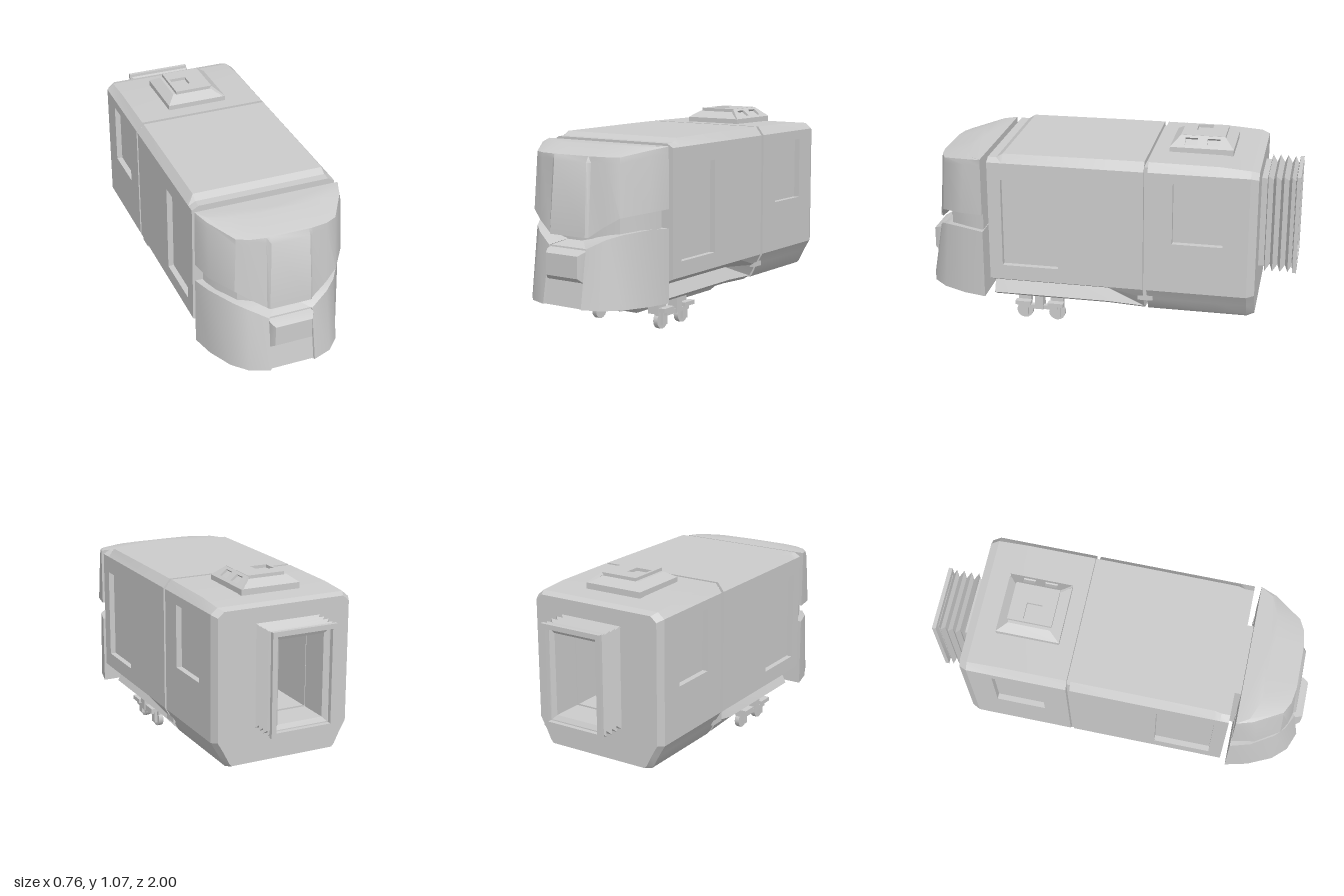
import * as THREE from 'three';
import { toCreasedNormals } from 'three/addons/utils/BufferGeometryUtils.js';

const grey = new THREE.MeshStandardMaterial({ color: 0xcccccc });
const greyDouble = new THREE.MeshStandardMaterial({ color: 0xcccccc, side: THREE.DoubleSide });

// Half outline [x, y, z] on +x, completed by its mirror image
const mirror = pts => [...pts, ...pts.slice().reverse().map(([x, y, z]) => [-x, y, z])];
// Rectangle across the z axis / across the y axis
const rectZ = (w, y0, y1, z) => mirror([[w, y1, z], [w, y0, z]]);
const rectY = (x0, x1, z0, z1, y) => [[x0, y, z0], [x1, y, z0], [x1, y, z1], [x0, y, z1]];

// Skin through rings with equal point counts, turned outward, with fan caps
function loft(rings, capStart = true, capEnd = true, crease = 0.4) {
  const n = rings[0].length, tris = [];
  for (let r = 0; r < rings.length - 1; r++)
    for (let i = 0; i < n; i++) {
      const j = (i + 1) % n, a = rings[r], b = rings[r + 1];
      tris.push([a[i], a[j], b[j]], [a[i], b[j], b[i]]);
    }
  const cap = (ring, flip) => {
    const c = [0, 1, 2].map(k => ring.reduce((s, p) => s + p[k], 0) / n);
    ring.forEach((p, i) => {
      const q = ring[(i + 1) % n];
      tris.push(flip ? [c, q, p] : [c, p, q]);
    });
  };
  if (capStart) cap(rings[0], true);
  if (capEnd) cap(rings[rings.length - 1], false);
  const all = rings.flat(), v = p => new THREE.Vector3(...p);
  const mid = v([0, 1, 2].map(k => all.reduce((s, p) => s + p[k], 0) / all.length));
  let volume = 0;
  for (const [a, b, c] of tris) volume += v(a).sub(mid).dot(v(b).sub(mid).cross(v(c).sub(mid)));
  if (volume < 0) tris.forEach(t => t.reverse());
  const geo = new THREE.BufferGeometry();
  geo.setAttribute('position', new THREE.Float32BufferAttribute(tris.flat(2), 3));
  return toCreasedNormals(geo, crease);
}

// Flat plate with rectangular holes [x0, y0, x1, y1]
function plate(outline, holes, depth) {
  const shape = new THREE.Shape(outline.map(p => new THREE.Vector2(...p)));
  for (const [x0, y0, x1, y1] of holes)
    shape.holes.push(new THREE.Path([[x0, y0], [x0, y1], [x1, y1], [x1, y0]].map(p => new THREE.Vector2(...p))));
  return depth ? new THREE.ExtrudeGeometry(shape, { depth, bevelEnabled: false }) : new THREE.ShapeGeometry(shape);
}

export function createModel() {
  const model = new THREE.Group();
  const add = (name, geo, material = grey, parent = model) => {
    const mesh = new THREE.Mesh(geo, material);
    mesh.name = name;
    parent.add(mesh);
    return mesh;
  };
  const box = (name, w, h, d, x, y, z, parent) =>
    add(name, new THREE.BoxGeometry(w, h, d), grey, parent).position.set(x, y, z);

  // Car cross-section with a shallow notch that the side panels fill
  const section = (z, top, lower) => mirror(
    [[0.345, top], [0.38, 0.95], [0.35, 0.95], [0.35, 0.30], [0.38, 0.30], ...lower].map(([x, y]) => [x, y, z]));
  const sidePanels = (name, z0, z1, hole) => {
    for (const x of [0.38, -0.35]) {
      const geo = plate([[z0, 0.30], [z1, 0.30], [z1, 0.95], [z0, 0.95]], [hole], 0.03);
      add(name, geo.rotateY(-Math.PI / 2).translate(x, 0, 0));
    }
  };

  // Middle car with undercut sills that run out towards the rear
  const sill = [[0.28, 0.25], [0.31, 0.185], [0.27, 0.16]];
  add('middleBody', loft([
    section(0.60, 0.97, sill), section(0.555, 0.97, sill), section(0.52, 0.992, sill),
    section(-0.02, 0.995, sill), section(-0.22, 0.995, [[0.347, 0.24], [0.31, 0.175], [0.27, 0.15]]),
  ]));
  sidePanels('middleSidePanel', -0.22, 0.60, [0.23, 0.38, 0.53, 0.86]);
  add('belly', loft([
    rectY(-0.145, 0.145, -0.22, 0.59, 0.165), rectY(-0.145, 0.145, -0.22, 0.59, 0.14),
    rectY(-0.10, 0.10, -0.15, 0.53, 0.08),
  ]));

  // Rear car with tapered tail and doorway
  const chamfer = [[0.345, 0.24], [0.315, 0.18], [0.30, 0.163]];
  add('rearBody', loft([section(-0.24, 0.995, chamfer), section(-0.60, 0.992, chamfer),
    section(-0.76, 0.98, chamfer)], true, false));
  sidePanels('rearSidePanel', -0.76, -0.24, [-0.63, 0.57, -0.37, 0.90]);
  const tail = [[0.345, 0.98], [0.38, 0.95], [0.38, 0.30], ...chamfer];
  const tailEnd = tail.map(([x, y]) => [x * 0.95, 0.57 + (y - 0.57) * 0.97]);
  add('tailTaper', loft([mirror(tail.map(p => [...p, -0.76])), mirror(tailEnd.map(p => [...p, -0.80]))], false, false));
  add('tailWall', plate(mirror(tailEnd).map(p => [p[0], p[1]]), [[-0.12, 0.43, 0.12, 0.84]]).translate(0, 0, -0.80), greyDouble);
  add('carJoint', new THREE.BoxGeometry(0.71, 0.74, 0.08)).position.set(0, 0.60, -0.23);

  // Folded gangway bellows, end frame and inner corridor
  const bellows = [[0.02, -0.79], [0.02, -0.83], [0, -0.835], [0.03, -0.86], [0, -0.875], [0.03, -0.90],
    [0, -0.915], [0.03, -0.94], [0.002, -0.955], [0.03, -0.975], [0, -0.98], [0, -1], [0.025, -1], [0.025, -0.975],
    [0.052, -0.96], [0.052, -0.5]];
  add('gangwayBellows', loft(bellows.map(([d, z]) => rectZ(0.175 - d, 0.37 + d, 0.90 - d, z)), false, true), greyDouble);

  // Roof unit: core, side windows on the left slope and a pocket on top
  const roof = new THREE.Group();
  roof.name = 'roofUnit';
  model.add(roof);
  add('roofUnitCore', loft([
    rectY(-0.165, 0.16, -0.65, -0.32, 0.98), rectY(-0.165, 0.16, -0.65, -0.32, 1.02),
    rectY(-0.165, 0.147, -0.65, -0.32, 1.02), rectY(-0.12, 0.095, -0.594, -0.376, 1.055),
  ]), grey, roof);
  const lid = plate([[-0.105, 0.37], [0.10, 0.37], [0.10, 0.60], [-0.105, 0.60]], [[-0.09, 0.44, 0.0, 0.52]], 0.017);
  add('roofUnitLid', lid.rotateX(-Math.PI / 2).translate(0, 1.054, 0), grey, roof);
  const slope = plate([[-0.165, 0], [0.165, 0], [0.115, 0.078], [-0.115, 0.078]],
    [[-0.09, 0.018, -0.025, 0.062], [0.025, 0.018, 0.09, 0.062]], 0.014);
  slope.translate(0, 0, -0.014).applyMatrix4(new THREE.Matrix4().makeBasis(
    new THREE.Vector3(0, 0, -1), new THREE.Vector3(-0.77, 0.64, 0), new THREE.Vector3(0.64, 0.77, 0)));
  add('roofUnitWindowSlope', slope.translate(0.16, 1.02, -0.485), grey, roof);

  // Cab: lower nose shell with a recessed centre strip
  const plan = (pts, y) => mirror(pts.map(([x, z]) => [x, y, z]));
  add('lowerNose', loft([
    plan([[0.38, 0.635], [0.35, 0.757], [0.29, 0.885], [0.22, 0.96], [0.12, 0.998], [0.117, 0.986]], 0.187),
    mirror([[0.38, 0.56, 0.635], [0.35, 0.565, 0.74], [0.27, 0.547, 0.86], [0.21, 0.525, 0.91], [0.115, 0.475, 0.95], [0.112, 0.475, 0.94]]),
  ], true, true, 0.5));
  add('couplerCover', loft([rectZ(0.12, 0.305, 0.47, 0.93), rectZ(0.115, 0.31, 0.46, 0.965),
    rectZ(0.098, 0.335, 0.445, 0.995)]));

  // Cab: upper shell with raised windscreen and sloped brow
  add('upperCab', loft([
    mirror([[0.38, 0.655, 0.635], [0.355, 0.65, 0.757], [0.27, 0.63, 0.88], [0.20, 0.585, 0.915], [0.12, 0.53, 0.935], [0.11, 0.53, 0.95]]),
    mirror([[0.38, 0.925, 0.635], [0.35, 0.92, 0.735], [0.26, 0.89, 0.865], [0.20, 0.89, 0.895], [0.12, 0.89, 0.908], [0.10, 0.89, 0.922]]),
    mirror([[0.38, 0.96, 0.635], [0.35, 0.95, 0.72], [0.26, 0.92, 0.862], [0.20, 0.92, 0.892], [0.12, 0.92, 0.905], [0.10, 0.92, 0.905]]),
    plan([[0.38, 0.635], [0.34, 0.70], [0.24, 0.74], [0.20, 0.75], [0.12, 0.755], [0.10, 0.755]], 0.962),
  ], true, true, 0.5));
  const core = [[0.34, 0.64], [0.31, 0.745], [0.24, 0.84], [0.11, 0.885]];
  add('cabCore', loft([plan(core, 0.40), plan(core, 0.75)]));
  box('cabNeck', 0.38, 0.48, 0.08, 0, 0.63, 0.62);

  // Running gear: rounded shoes with hangers and linkage on each side
  for (const s of [1, -1]) {
    const gear = new THREE.Group();
    gear.name = s > 0 ? 'leftRunningGear' : 'rightRunningGear';
    model.add(gear);
    for (const z of [0.46, 0.28]) {
      add('shoe', new THREE.CylinderGeometry(0.045, 0.045, 0.026, 16).rotateZ(Math.PI / 2), grey, gear)
        .position.set(s * 0.2, 0.045, z);
      box('shoeHanger', 0.026, 0.11, 0.07, s * 0.2, 0.095, z, gear);
      box('axleBlock', 0.05, 0.06, 0.05, s * 0.165, 0.105, z, gear);
      box('outerLink', 0.016, 0.085, 0.04, s * 0.222, 0.065, z, gear);
      box('linkCap', 0.035, 0.022, 0.085, s * 0.24, 0.105, z, gear);
    }
    box('linkBeam', 0.025, 0.022, 0.2, s * 0.235, 0.085, 0.37, gear);
    box('linkBracket', 0.06, 0.08, 0.045, s * 0.225, 0.115, 0.37, gear);
  }

  // Equipment under the rear car
  add('underFrame', plate([[-0.08, -0.08], [0.08, -0.08], [0.08, 0.08], [-0.08, 0.08]],
    [[-0.055, -0.055, 0.055, 0.055]], 0.045).rotateX(Math.PI / 2).translate(0, 0.168, -0.52));
  box('underFrameBolt', 0.03, 0.03, 0.03, 0, 0.15, -0.52);
  box('underBox', 0.11, 0.055, 0.07, -0.02, 0.138, -0.335);
  add('underTank', new THREE.CylinderGeometry(0.03, 0.03, 0.11, 16).rotateZ(Math.PI / 2)).position.set(-0.07, 0.14, -0.405);
  return model;
}
